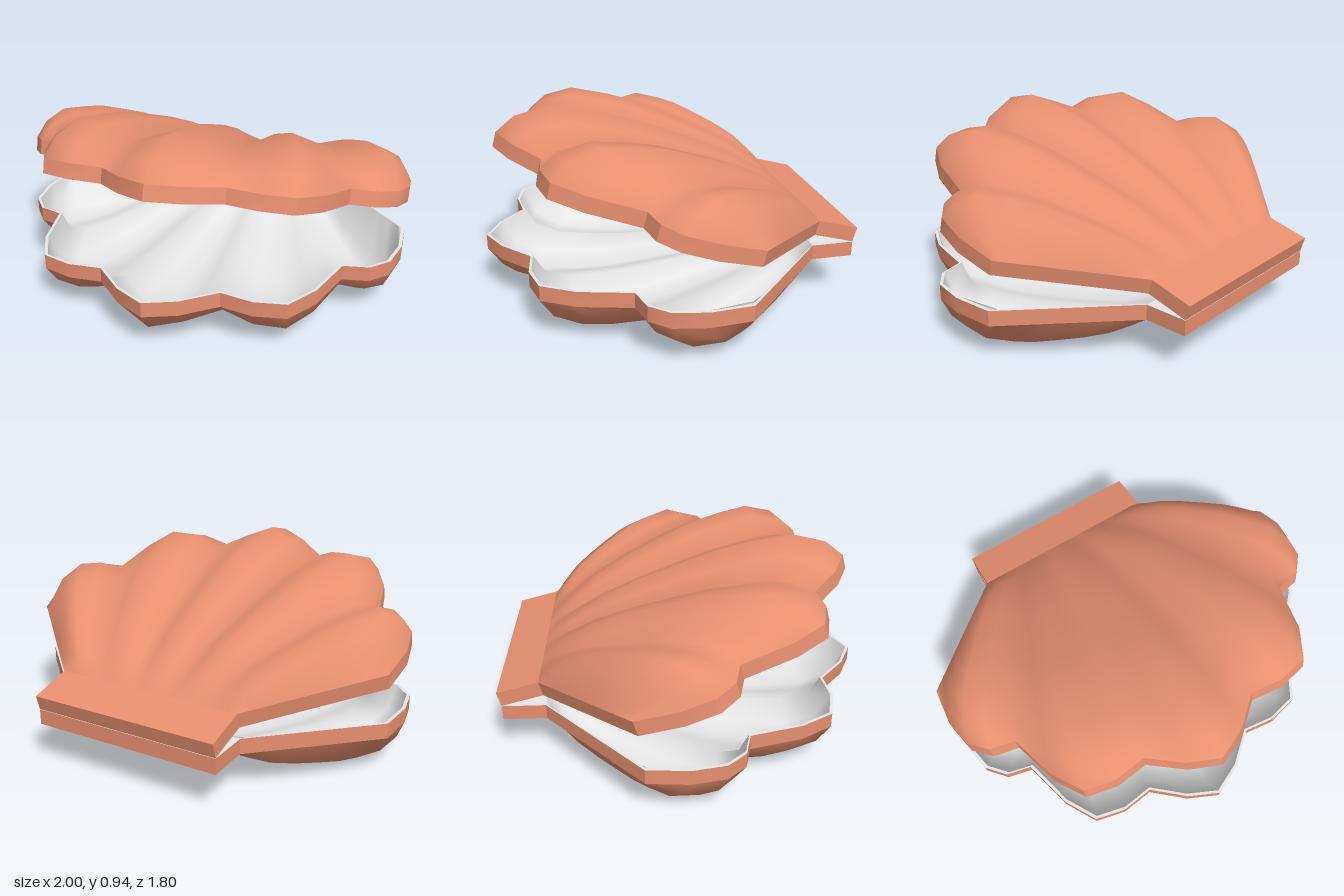
import * as THREE from 'three';
import { toCreasedNormals } from 'three/addons/utils/BufferGeometryUtils.js';

const coral = new THREE.MeshStandardMaterial({ color: 0xe8906f });
coral.name = 'coral shell';
const pearl = new THREE.MeshStandardMaterial({ color: 0xe8e8e8 });
pearl.name = 'pearl lining';

const HINGE_X = 0.48, HINGE_Z = -0.67, BACK_Z = -0.88, WALL = 0.075, RIM_Y = 0.285;

// Scalloped edge from the centre to one side: x, z, rib depth
const edge = [
  [0, 0.9, 0.205], [0.15, 0.83, 0.16], [0.3, 0.7, 0.118], [0.46, 0.72, 0.18],
  [0.61, 0.685, 0.2], [0.7, 0.53, 0.165], [0.765, 0.28, 0.122], [0.89, 0.25, 0.15],
  [0.97, 0.16, 0.175], [1, 0, 0.145], [0.985, -0.2, 0],
];
const N = edge.length - 1;

// Depth along each rib, from the hinge (0) to the edge (1)
const profile = [
  [0, 0], [0.05, 0.17], [0.1, 0.32], [0.22, 0.62], [0.357, 0.8], [0.49, 0.91],
  [0.62, 1], [0.72, 0.98], [0.86, 0.88], [0.955, 0.48], [1, 0],
];

// Surface through rows of points
function grid(rows, flip) {
  const w = rows[0].length, index = [];
  for (let j = 0; j < rows.length - 1; j++) {
    for (let i = 0; i < w - 1; i++) {
      const a = j * w + i, b = a + 1, c = a + w, d = c + 1;
      index.push(...(flip ? [a, c, b, b, c, d] : [a, b, c, b, d, c]));
    }
  }
  const g = new THREE.BufferGeometry();
  g.setAttribute('position', new THREE.Float32BufferAttribute(rows.flat(2), 3));
  g.setIndex(index);
  g.computeVertexNormals();
  return g;
}

// Rows of the ribbed fan; inset shrinks the outline, depth gives y
function fan(inset, depth) {
  return profile.map(([t, p]) => {
    const row = [];
    for (let i = -N; i <= N; i++) {
      const [x, z, d] = edge[Math.abs(i)];
      const hx = HINGE_X * i / N;
      const rx = Math.sign(i) * x;
      row.push([
        (hx + (rx - hx) * t) * inset,
        -depth(t, p * d, Math.abs(i)),
        HINGE_Z + (z * inset - HINGE_Z) * t,
      ]);
    }
    return row;
  });
}

// Outline from one hinge corner round the front to the other
function outline(inset, y) {
  const pts = [[-HINGE_X * inset, y, HINGE_Z]];
  for (let i = -N; i <= N; i++) {
    const [x, z] = edge[Math.abs(i)];
    pts.push([Math.sign(i) * x * inset, y, z * inset]);
  }
  pts.push([HINGE_X * inset, y, HINGE_Z]);
  return pts;
}

// One shell half, opening upward, with its pivot at the back of the rim
function shellHalf(name) {
  const half = new THREE.Group();
  half.name = name;
  const add = (part, geometry, material) => {
    const mesh = new THREE.Mesh(geometry, material);
    mesh.name = part;
    mesh.position.z -= BACK_Z;
    half.add(mesh);
    return mesh;
  };

  // Ribbed outside
  add('ribbedOutside', grid(fan(1, (t, d) => WALL + d), false), coral);

  // Straight band under the rim
  const band = grid([outline(1, 0), outline(1, -WALL)], true);
  add('edgeBand', toCreasedNormals(band, 0.6), coral);

  // Narrow flat rim and hollow lining
  const inset = 0.983;
  add('rim', grid([outline(1, 0), outline(inset, 0)], false), pearl);
  const hollow = (t, d, i) =>
    i === N ? 0 : 0.92 * d + 0.05 * Math.min(1, t / 0.1, (1 - t) / 0.04);
  add('lining', grid(fan(inset, hollow), true), pearl);

  // Hinge plate, pearl on its inner face
  const length = HINGE_Z - BACK_Z;
  const plate = add('hingePlate', new THREE.BoxGeometry(HINGE_X * 2, WALL, length),
    [coral, coral, pearl, coral, coral, coral]);
  plate.position.y = -WALL / 2;
  plate.position.z = length / 2;
  return half;
}

export function createModel() {
  const model = new THREE.Group();
  model.name = 'scallopShell';

  const lower = shellHalf('lowerShell');
  lower.position.set(0, RIM_Y, BACK_Z);

  // The lid is the same half turned over and tipped open
  const upper = shellHalf('upperShell');
  upper.position.set(0, RIM_Y + 0.002, BACK_Z);
  upper.rotation.set(-THREE.MathUtils.degToRad(15.2), 0, Math.PI);

  model.add(lower, upper);
  return model;
}
